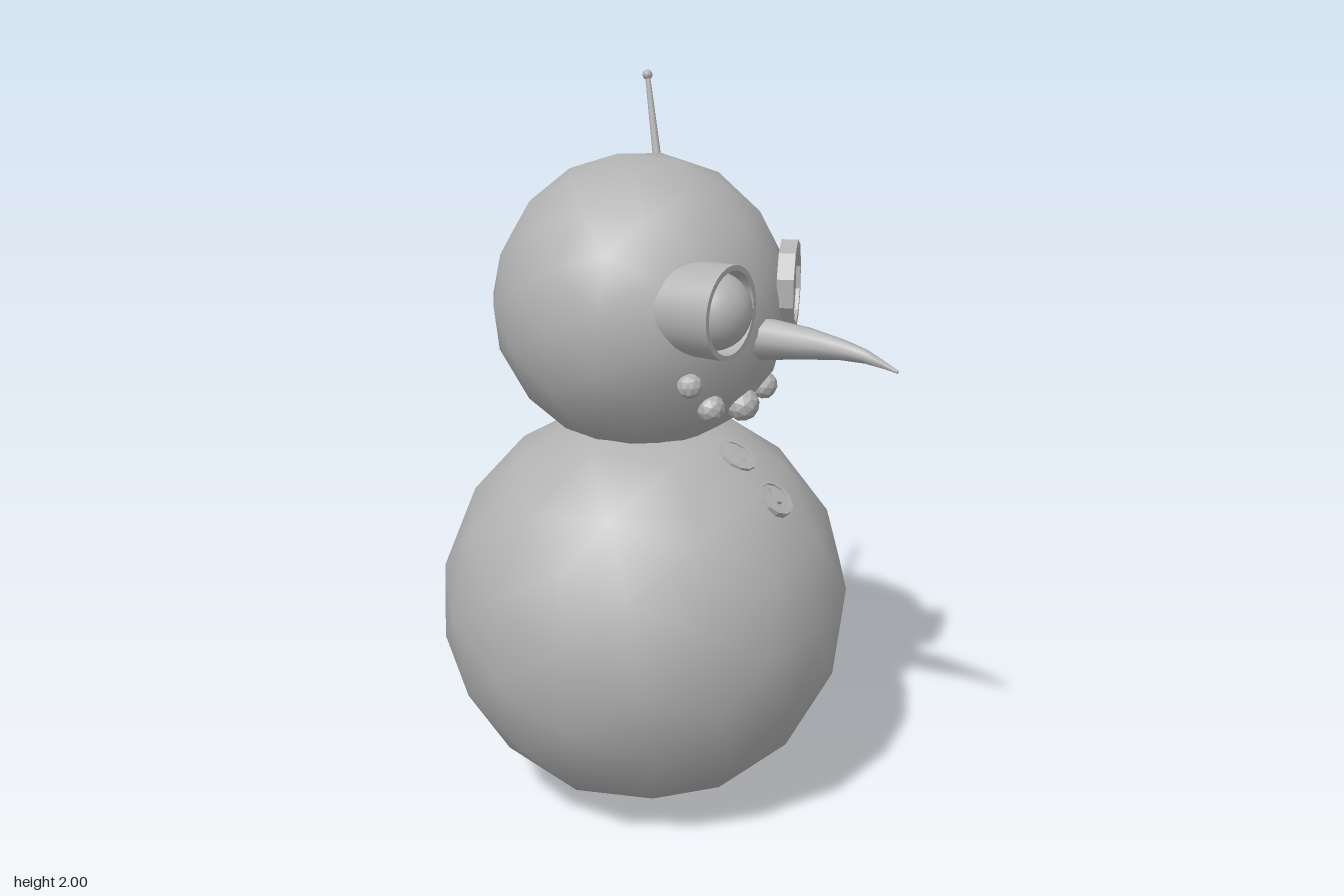
import * as THREE from 'three';
import { toCreasedNormals } from 'three/addons/utils/BufferGeometryUtils.js';

const grey = new THREE.MeshStandardMaterial({ color: 0xb2b2b2 });
grey.name = 'grey';

function part(parent, name, geometry, x = 0, y = 0, z = 0) {
  const mesh = new THREE.Mesh(geometry, grey);
  mesh.name = name;
  mesh.position.set(x, y, z);
  parent.add(mesh);
  return mesh;
}

// regular polygon outline in the xy plane
function polygon(radius, sides, cy = 0, start = 0) {
  return Array.from({ length: sides }, (_, i) => {
    const a = start + (i / sides) * Math.PI * 2;
    return new THREE.Vector2(radius * Math.cos(a), cy + radius * Math.sin(a));
  });
}

// plate pierced by holes, extruded along +z
function plate(radius, sides, depth, holes) {
  const shape = new THREE.Shape(polygon(radius, sides, 0, Math.PI / sides));
  for (const h of holes) shape.holes.push(new THREE.Path(h));
  return new THREE.ExtrudeGeometry(shape, { depth, bevelEnabled: false });
}

// two-hole button with a raised rim, facing along the given normal
function button(parent, name, pos, normal, radius, thickness, sides) {
  const g = new THREE.Group();
  g.name = name;
  g.position.copy(pos);
  g.lookAt(pos.clone().add(normal));
  const holes = [0.42, -0.42].map((k) => polygon(radius * 0.24, 5, radius * k, 0.3));
  const rimHole = polygon(radius * 0.83, sides, 0, Math.PI / sides);
  part(g, name + 'Rim', plate(radius, sides, thickness, [rimHole]), 0, 0, -thickness / 2);
  part(g, name + 'Face', plate(radius * 0.835, sides, thickness * 0.75, holes), 0, 0, -thickness / 2);
  parent.add(g);
}

// curved carrot: sections of [x, centre y, radius]
function noseGeometry() {
  const sections = [[0.24, 1.375, 0.06], [0.4, 1.381, 0.042], [0.5, 1.379, 0.027],
    [0.57, 1.371, 0.018], [0.62, 1.357, 0.01], [0.66, 1.344, 0.004]];
  const last = sections.length - 1;
  const geo = new THREE.CylinderGeometry(1, 1, 1, 9, last);
  const p = geo.attributes.position;
  for (let i = 0; i < p.count; i++) {
    const [x, y, r] = sections[Math.round((p.getY(i) + 0.5) * last)];
    p.setXYZ(i, x, y - p.getX(i) * r, p.getZ(i) * r);
  }
  geo.computeVertexNormals();
  return toCreasedNormals(geo, 0.9);
}

export function createModel() {
  const model = new THREE.Group();
  model.name = 'snowman';

  // snowballs
  const body = part(model, 'body', new THREE.IcosahedronGeometry(0.572, 2), -0.095, 0.568, 0);
  body.rotation.set(0.1, 0.2, 0.08);
  const headCentre = new THREE.Vector3(-0.103, 1.425, 0);
  const head = part(model, 'head', new THREE.IcosahedronGeometry(0.4, 2), ...headCentre.toArray());
  head.rotation.set(0.06, 0.3, -0.08);

  part(model, 'nose', noseGeometry());

  // ball eye in a round socket
  const profile = [[0.12, 0], [0.12, 0.21], [0.106, 0.21], [0.104, 0.15], [0, 0.15]]
    .map(([r, y]) => new THREE.Vector2(r, y));
  const socket = part(model, 'eyeSocket',
    toCreasedNormals(new THREE.LatheGeometry(profile, 32), 0.6), 0.08, 1.48, 0.182);
  socket.rotation.z = -Math.PI / 2;
  part(model, 'eyeball', new THREE.SphereGeometry(0.1, 24, 16), 0.235, 1.48, 0.182);

  // button eye
  button(model, 'buttonEye', new THREE.Vector3(0.247, 1.48, -0.182),
    new THREE.Vector3(0.91, 0, -0.41), 0.121, 0.044, 10);

  // pebble mouth
  const pebbles = [[1.29, 0.225, 0.034], [1.21, 0.135, 0.038], [1.19, 0, 0.045],
    [1.21, -0.13, 0.038], [1.29, -0.222, 0.034]];
  for (const [y, z, r] of pebbles) {
    const x = headCentre.x + Math.sqrt(0.158 - z * z - (y - headCentre.y) ** 2);
    const pebble = part(model, 'mouthPebble',
      toCreasedNormals(new THREE.IcosahedronGeometry(r, 1), 0), x, y, z);
    pebble.geometry.computeVertexNormals();
    pebble.rotation.set(y * 5, z * 9, 0.4);
  }

  // coat buttons
  button(model, 'upperButton', new THREE.Vector3(0.2, 1.04, 0),
    new THREE.Vector3(0.55, 0.83, 0), 0.055, 0.022, 12);
  button(model, 'lowerButton', new THREE.Vector3(0.318, 0.943, 0),
    new THREE.Vector3(0.66, 0.75, 0), 0.055, 0.022, 12);

  // twig with a small knob
  const base = new THREE.Vector3(-0.2, 1.68, -0.244);
  const tip = new THREE.Vector3(-0.288, 1.987, -0.31);
  const dir = tip.clone().sub(base);
  const twig = part(model, 'twig', new THREE.CylinderGeometry(0.007, 0.014, dir.length(), 8),
    ...base.clone().add(tip).multiplyScalar(0.5).toArray());
  twig.quaternion.setFromUnitVectors(new THREE.Vector3(0, 1, 0), dir.normalize());
  part(model, 'twigKnob', new THREE.SphereGeometry(0.014, 10, 8), ...tip.toArray());

  return model;
}
